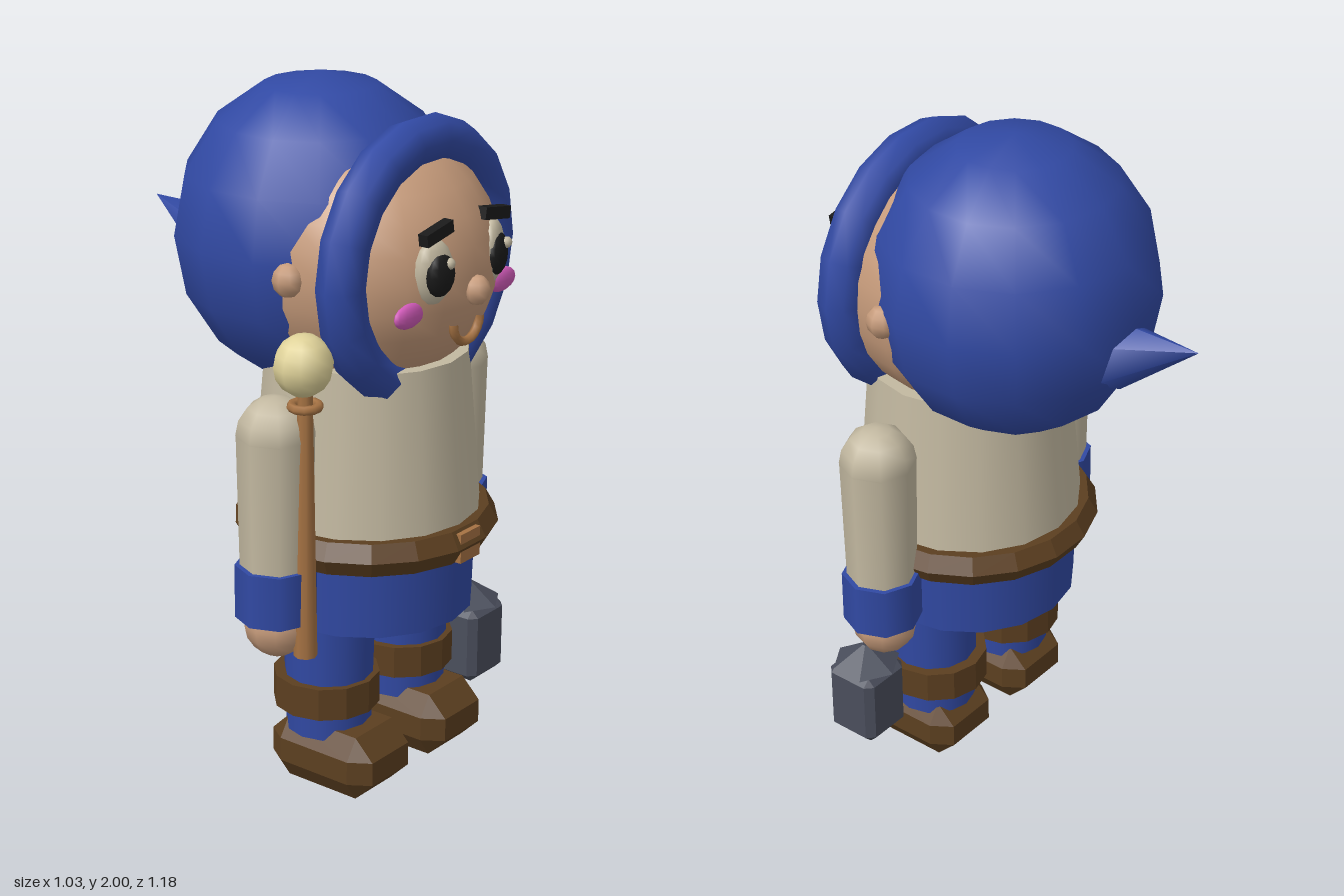
import * as THREE from 'three';
import { ConvexGeometry } from 'three/addons/geometries/ConvexGeometry.js';

const mat = (name, color, flatShading = false) => {
  const m = new THREE.MeshStandardMaterial({ color, flatShading });
  m.name = name;
  return m;
};

export function createModel() {
  const root = new THREE.Group();
  root.name = 'hoodedTraveller';
  const blue = mat('blueCloth', 0x3149a3);
  const skin = mat('skin', 0xc59a7a);
  const cream = mat('creamCloth', 0xc2b8a0);
  const brown = mat('brownLeather', 0x5c3f20, true);
  const wood = mat('wood', 0xa57243);
  const straw = mat('paleYellow', 0xdfd299);
  const iron = mat('iron', 0x4a4e5c, true);
  const black = mat('black', 0x1a1a1a);
  const pink = mat('pink', 0xd05ab8);

  const Z = 0.187; // depth of the body axis
  const add = (name, geo, material, x, y, z, parent = root) => {
    const m = new THREE.Mesh(geo, material);
    m.name = name;
    m.position.set(x, y, z);
    parent.add(m);
    return m;
  };
  const ball = (name, material, x, y, z, rx, ry = rx, rz = rx, ws = 12, hs = 8) => {
    const m = add(name, new THREE.SphereGeometry(1, ws, hs), material, x, y, z);
    m.scale.set(rx, ry, rz);
    return m;
  };
  const tube = (name, material, x, z, y0, y1, r0, r1, n = 16) =>
    add(name, new THREE.CylinderGeometry(r1, r0, y1 - y0, n), material, x, (y0 + y1) / 2, z);
  // box with bevelled edges and corners
  const bevelBox = (hx, hy, hz, cx, cy, cz) => {
    const pts = [];
    for (const a of [-1, 1]) for (const b of [-1, 1]) for (const c of [-1, 1]) {
      pts.push(
        new THREE.Vector3(a * hx, b * (hy - cy), c * (hz - cz)),
        new THREE.Vector3(a * (hx - cx), b * hy, c * (hz - cz)),
        new THREE.Vector3(a * (hx - cx), b * (hy - cy), c * hz));
    }
    return new ConvexGeometry(pts);
  };

  // Head and hood
  ball('head', skin, 0, 1.52, 0.19, 0.36, 0.36, 0.36, 20, 14);
  const hood = ball('hood', blue, 0, 1.56, 0.02, 0.41, 0.44, 0.41, 14, 8);
  hood.rotation.y = Math.PI / 2;
  add('hoodRim', new THREE.TorusGeometry(0.335, 0.067, 8, 18), blue, 0, 1.525, 0.355);
  const tip = add('hoodTip', new THREE.ConeGeometry(0.11, 0.304, 6), blue, 0, 1.499, -0.447);
  tip.rotation.x = -Math.atan2(0.94, 0.337);

  // Face
  ball('nose', skin, 0, 1.482, 0.552, 0.037, 0.042, 0.037, 8, 6);
  const mouth = add('mouth', new THREE.TorusGeometry(0.06, 0.013, 6, 10, Math.PI), wood, 0, 1.393, 0.52);
  mouth.rotation.z = Math.PI;
  for (const s of [-1, 1]) {
    ball('eyeWhite', cream, s * 0.133, 1.553, 0.505, 0.062, 0.09, 0.032).rotation.y = s * 0.36;
    ball('pupil', black, s * 0.13, 1.548, 0.525, 0.049, 0.06, 0.024).rotation.y = s * 0.2;
    ball('eyeGlint', cream, s * 0.13 + 0.018, 1.578, 0.543, 0.016, 0.016, 0.014, 8, 6);
    const brow = add('brow', new THREE.BoxGeometry(0.115, 0.034, 0.03), black, s * 0.13, 1.66, 0.51);
    brow.rotation.z = -s * 0.17;
    ball('cheek', pink, s * 0.21, 1.448, 0.485, 0.063, 0.034, 0.018);
    ball('ear', skin, s * 0.355, 1.525, 0.195, 0.042, 0.048, 0.045, 8, 6);
  }

  // Tunic, belt and hips
  tube('tunic', cream, 0, Z, 0.75, 1.26, 0.328, 0.285);
  tube('hips', blue, 0, Z, 0.5, 0.76, 0.307, 0.315);
  const belt = add('belt', new THREE.TorusGeometry(0.32, 0.055, 6, 18), brown, 0, 0.75, Z);
  belt.rotation.x = Math.PI / 2;
  add('buckle', new THREE.BoxGeometry(0.09, 0.085, 0.05), wood, 0, 0.747, 0.525);

  for (const s of [-1, 1]) {
    // Legs and boots
    tube('leg', blue, s * 0.175, Z + 0.005, 0.16, 0.52, 0.122, 0.132, 12);
    tube('legBand', brown, s * 0.175, Z - 0.003, 0.235, 0.33, 0.152, 0.152, 12);
    add('boot', bevelBox(0.123, 0.095, 0.18, 0.04, 0.06, 0.06), brown, s * 0.173, 0.095, 0.233);

    // Arms
    tube('sleeve', cream, s * 0.4, Z, 0.62, 1.1, 0.098, 0.107, 8);
    ball('shoulder', cream, s * 0.4, 1.105, Z, 0.108, 0.108, 0.108, 8, 8);
    tube('cuff', blue, s * 0.402, Z, 0.575, 0.73, 0.113, 0.113, 8);
    ball('hand', skin, s * 0.395, 0.55, Z, 0.094, 0.094, 0.094, 10, 8);
  }

  // Staff in the right hand
  const sx = -0.395, sz = 0.285;
  tube('staff', wood, sx, sz, 0.48, 1.26, 0.033, 0.02, 8);
  const collar = add('staffCollar', new THREE.TorusGeometry(0.038, 0.013, 6, 10), wood, sx, 1.205, sz);
  collar.rotation.x = Math.PI / 2;
  ball('staffKnob', straw, sx, 1.318, sz - 0.005, 0.086, 0.086, 0.08, 10, 8);

  // Lantern in the left hand
  const lx = 0.397, lz = 0.265;
  tube('lanternHook', iron, lx, lz, 0.41, 0.51, 0.008, 0.008, 6);
  add('lanternRoof', new THREE.ConeGeometry(0.102, 0.068, 6), iron, lx, 0.398, lz);
  add('lanternBody', bevelBox(0.084, 0.115, 0.084, 0.022, 0.022, 0.022), iron, lx, 0.25, lz);

  return root;
}
